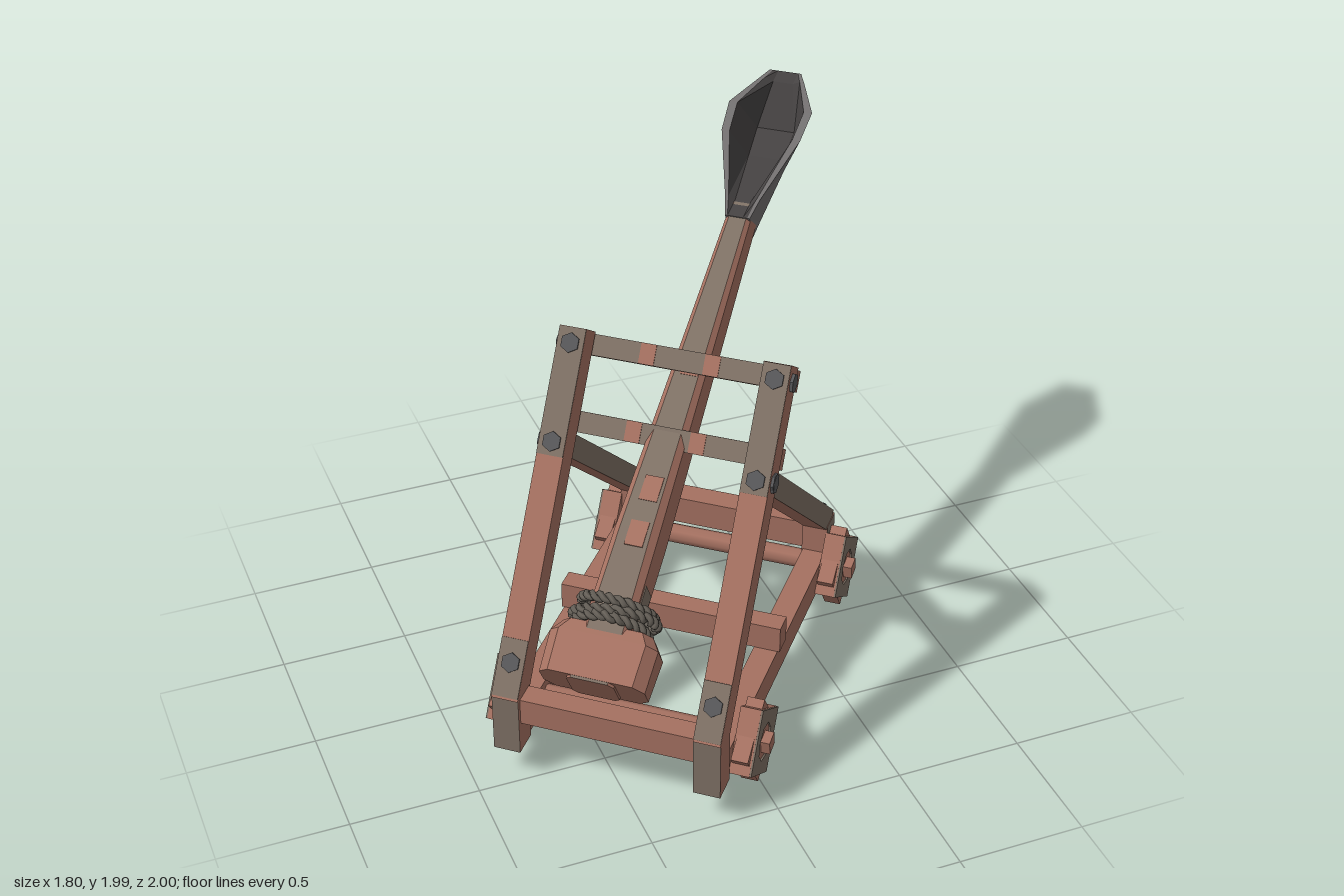
import * as THREE from 'three';

const mat = (name, color) => {
  const m = new THREE.MeshStandardMaterial({ color });
  m.name = name;
  return m;
};

// Joins equal cross-section loops [x, z] stacked along y; matOf picks a material per strip
function loft(sections, matOf) {
  const geo = new THREE.BufferGeometry();
  const pos = [];
  const n = sections[0].loop.length;
  const add = (mi, ...pts) => {
    geo.addGroup(pos.length / 3, pts.length, mi);
    pts.forEach(p => pos.push(...p));
  };
  const at = (i, j) => {
    const [x, z] = sections[i].loop[j % n];
    return [x, sections[i].y, z];
  };
  const last = sections.length - 1;
  for (let j = 0; j < n; j++) {
    for (let i = 0; i < last; i++) {
      const a = at(i, j), b = at(i, j + 1), c = at(i + 1, j + 1), d = at(i + 1, j);
      add(matOf(j), a, b, c, a, c, d);
    }
  }
  for (let j = 1; j < n - 1; j++) {
    add(0, at(0, 0), at(0, j + 1), at(0, j));
    add(0, at(last, 0), at(last, j), at(last, j + 1));
  }
  geo.setAttribute('position', new THREE.Float32BufferAttribute(pos, 3));
  geo.computeVertexNormals();
  return geo;
}

// Rectangle loop with cut corners
const chamfered = (w, t, c) => [[-w + c, t], [w - c, t], [w, t - c], [w, c - t],
  [w - c, -t], [c - w, -t], [-w, c - t], [-w, t - c]];

export function createModel() {
  const wood = mat('red wood', 0xa57161);
  const grey = mat('weathered wood', 0x7f7165);
  const iron = mat('spoon iron', 0x737070);
  const dark = mat('spoon hollow', 0x454242);
  const bolt = mat('bolt metal', 0x58585a);
  const rope = mat('rope', 0x666058);

  const model = new THREE.Group();
  const body = new THREE.Group();
  body.name = 'catapult';
  body.rotation.y = -0.703;
  body.position.set(0.015, 0, 0.013);
  model.add(body);

  const mesh = (name, geo, material, parent = body) => {
    const m = new THREE.Mesh(geo, material);
    m.name = name;
    parent.add(m);
    return m;
  };
  const box = (name, w, h, d, x, y, z, material = wood, parent = body) => {
    const m = mesh(name, new THREE.BoxGeometry(w, h, d), material, parent);
    m.position.set(x, y, z);
    return m;
  };
  // Timber between two [z, y] points
  const beam = (name, x, a, b, w, t, material) => {
    const dz = b[0] - a[0], dy = b[1] - a[1];
    const m = box(name, w, Math.hypot(dz, dy), t, x, (a[1] + b[1]) / 2, (a[0] + b[0]) / 2, material);
    m.rotation.x = Math.atan2(dz, dy);
    return m;
  };
  const boltGeo = new THREE.CylinderGeometry(0.038, 0.038, 0.022, 6).toNonIndexed();
  boltGeo.computeVertexNormals();
  // Bolt head at a distance along a timber, on its side (x) or front (z) face
  const addBolt = (parent, x, y, z) => {
    const m = mesh('bolt', boltGeo, bolt, parent);
    m.position.set(x, y, z);
    if (x) m.rotation.z = Math.PI / 2; else m.rotation.x = Math.PI / 2;
  };

  const X = 0.393;
  const greyFront = [wood, wood, wood, wood, grey, wood];
  const greySides = [grey, grey, wood, wood, wood, wood];
  for (const s of [-1, 1]) {
    const x = s * X;
    // Base rail and corner posts
    box('rail', 0.095, 0.12, 1.4, x, 0.19, 0.145);
    box('frontPost', 0.105, 0.25, 0.11, x, 0.245, 0.848, greyFront);
    box('rearPost', 0.105, 0.26, 0.11, x, 0.25, -0.56, [grey, grey, wood, wood, wood, grey]);

    // Slanted upright, weathered at both ends of its front, and its rear brace
    const leg = beam('upright', x, [0.862, 0.335], [0.065, 1.485], 0.105, 0.11, wood);
    box('weatheredTop', 0.104, 0.48, 0.008, 0, 0.458, 0.056, grey, leg);
    box('weatheredFoot', 0.104, 0.22, 0.008, 0, -0.58, 0.056, grey, leg);
    for (const d of [-0.56, 0.27, 0.64]) {
      addBolt(leg, 0, d, 0.056);
      if (d > 0) addBolt(leg, s * 0.053, d, 0);
    }
    const brace = beam('brace', x, [-0.575, 0.365], [0.335, 1.155], 0.1, 0.09, greySides);
    addBolt(brace, 0, -0.5, -0.045);
    addBolt(brace, s * 0.052, 0.575, 0);
  }

  // Cross timbers on the rails
  box('frontCrossbeam', 0.75, 0.11, 0.09, 0, 0.305, 0.84);
  box('middleCrossbeam', 0.9, 0.11, 0.085, 0, 0.305, 0.13);
  box('rearCrossbeam', 0.75, 0.12, 0.1, 0, 0.31, -0.57);

  // Cross bars behind the uprights, with worn red patches
  for (const [y, z] of [[1.385, 0.005], [1.145, 0.172]]) {
    const bar = box('crossBar', 0.87, 0.08, 0.08, 0, y, z, greyFront);
    bar.rotation.x = -0.606;
    for (const px of [-0.13, 0.12]) box('wornPatch', 0.06, 0.078, 0.006, px, 0, 0.04, wood, bar);
  }

  // Axles and ragged square wheels
  const wheelGeo = (r, t) => {
    const g = new THREE.CylinderGeometry(r, r, t, 4).toNonIndexed();
    g.computeVertexNormals();
    return g;
  };
  const outerWheel = wheelGeo(0.178, 0.08);
  const innerWheel = wheelGeo(0.176, 0.066);
  const polygon = (path, r, n) => {
    for (let i = 0; i < n; i++) {
      const a = i / n * Math.PI * 2;
      path[i ? 'lineTo' : 'moveTo'](r * Math.cos(a), r * Math.sin(a));
    }
    path.closePath();
    return path;
  };
  const ringShape = polygon(new THREE.Shape(), 0.177, 4);
  ringShape.holes.push(polygon(new THREE.Path(), 0.075, 8));
  const ringGeo = new THREE.ExtrudeGeometry(ringShape, { depth: 0.009, bevelEnabled: false });
  for (const z of [0.613, -0.535]) {
    const axle = mesh('axle', new THREE.CylinderGeometry(0.04, 0.04, 0.96, 8), wood);
    axle.rotation.z = Math.PI / 2;
    axle.position.set(0, 0.178, z);
    for (const s of [-1, 1]) {
      const wheel = new THREE.Group();
      wheel.name = 'wheel';
      wheel.position.set(s * 0.48, 0.178, z);
      wheel.rotation.x = 0.18;
      body.add(wheel);
      mesh('wheelBlock', outerWheel, wood, wheel).rotation.z = Math.PI / 2;
      mesh('wheelBacking', innerWheel, wood, wheel).rotation.set(-0.36, 0, Math.PI / 2);
      const ring = mesh('wheelFace', ringGeo, grey, wheel);
      ring.rotation.y = s * Math.PI / 2;
      ring.position.x = s * 0.038;
      box('hub', 0.1, 0.06, 0.06, s * 0.025, 0, 0, wood, wheel);
    }
  }

  // Throwing arm: y runs toward the spoon, z points up from the arm
  const arm = new THREE.Group();
  arm.name = 'throwingArm';
  arm.position.set(0, 1.62, -0.71);
  arm.rotation.x = Math.atan2(-0.862, 0.508);
  body.add(arm);
  mesh('armBeam', loft([
    { y: -2.0, loop: chamfered(0.09, 0.078, 0.02) },
    { y: -1.4, loop: chamfered(0.085, 0.095, 0.025) },
    { y: 0.03, loop: chamfered(0.048, 0.062, 0.015) },
  ], j => (j === 0 || j === 4 ? 1 : 0)), [wood, grey], arm);
  // Worn patches on top, weathered patches on the sides
  for (const [y, z] of [[-0.7, 0.078], [-1.235, 0.091], [-1.42, 0.094]]) {
    box('wornPatch', 0.07, 0.1, 0.008, 0.01, y, z, wood, arm);
  }
  for (const s of [-1, 1]) box('weatheredPatch', 0.008, 0.13, 0.1, s * 0.087, -1.66, 0, grey, arm);

  // Counterweight block
  mesh('counterweight', loft([
    { y: -1.99, loop: chamfered(0.2, 0.08, 0.04) },
    { y: -1.83, loop: chamfered(0.205, 0.09, 0.04) },
    { y: -1.78, loop: chamfered(0.17, 0.075, 0.035) },
  ], () => 0), [wood], arm);

  // Twisted rope wound around the arm
  for (let k = 0; k < 3; k++) {
    for (const phase of [0, Math.PI]) {
      const pts = [];
      for (let i = 0; i < 72; i++) {
        const a = i / 72 * Math.PI * 2, t = a * 12 + phase;
        const r = 1 + 0.07 * Math.cos(t);
        pts.push(new THREE.Vector3((0.14 + 0.015 * (k % 2)) * r * Math.cos(a),
          -1.77 + k * 0.043 + 0.011 * Math.sin(t) + 0.012 * Math.sin(a + k * 2),
          0.108 * r * Math.sin(a)));
      }
      mesh('ropeStrand', new THREE.TubeGeometry(new THREE.CatmullRomCurve3(pts, true), 144, 0.012, 5, true), rope, arm);
    }
  }

  // Spoon: [y, half width, rim height, floor height, keel half width, keel height]
  const spoon = [
    [-0.04, 0.05, 0.068, 0.068, 0.045, -0.068],
    [0.04, 0.07, 0.08, 0.06, 0.05, -0.08],
    [0.32, 0.16, 0.1, -0.06, 0.065, -0.135],
    [0.46, 0.17, 0.09, -0.07, 0.07, -0.16],
    [0.62, 0.09, 0.05, 0.03, 0.055, -0.06],
    [0.665, 0.065, 0.042, 0.042, 0.05, -0.025],
  ].map(([y, w, r, f, k, d]) => ({
    y,
    loop: [[-w, r], [-w * 0.8, r], [-w * 0.45, f], [w * 0.45, f],
      [w * 0.8, r], [w, r], [k, d], [-k, d]],
  }));
  mesh('spoon', loft(spoon, j => (j > 0 && j < 4 ? 1 : 0)), [iron, dark], arm);

  return model;
}
